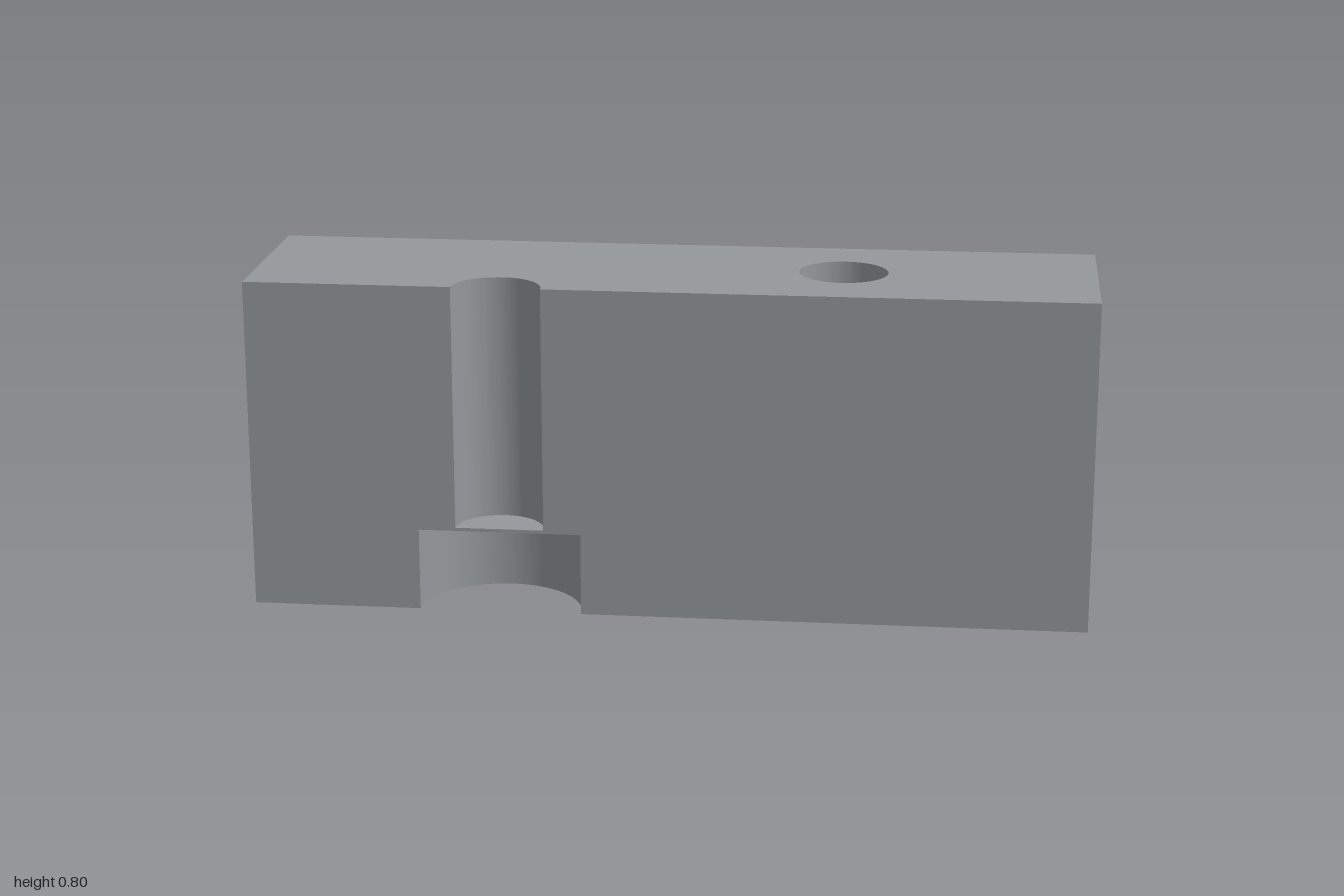
import * as THREE from 'three';
import { mergeGeometries, toCreasedNormals } from 'three/addons/utils/BufferGeometryUtils.js';

const W = 1, D = 0.24, H = 0.8;      // half width, half depth, height
const HOLE_X = 0.4;                  // the holes sit at +x (centred) and -x (cut by the front face)
const BORE = 0.106, COUNTERBORE = 0.195;
const LEDGE = 0.2, FLOOR = 0.208;    // thin web closing the bores above the counterbores

// Plan of the block (shape y = -z) with a round hole and a half-round notch of radius r
function blockPlan(r) {
  const s = new THREE.Shape();
  s.moveTo(-W, -D);
  if (r > 0) {
    s.lineTo(-HOLE_X - r, -D);
    s.absarc(-HOLE_X, -D, r, Math.PI, 0, true);
    s.holes.push(new THREE.Path().absarc(HOLE_X, 0, r, 0, Math.PI * 2, true));
  }
  s.lineTo(W, -D);
  s.lineTo(W, D);
  s.lineTo(-W, D);
  s.closePath();
  return s;
}

// Discs that close the hole and the notch
function pocketPlans(r) {
  return [
    new THREE.Shape().absarc(HOLE_X, 0, r, 0, Math.PI * 2, false),
    new THREE.Shape().absarc(-HOLE_X, -D, r, 0, Math.PI, false),
  ];
}

// Extrude a plan from y0 to y1 and keep only the named faces: bottom, sides, top
function layer(plan, y0, y1, keep) {
  const full = new THREE.ExtrudeGeometry(plan, { depth: y1 - y0, bevelEnabled: false, curveSegments: 48 });
  full.rotateX(-Math.PI / 2).translate(0, y0, 0);
  const [caps, sides] = full.groups;
  const half = caps.count / 2;
  const ranges = {
    bottom: [caps.start, half],
    top: [caps.start + half, half],
    sides: [sides.start, sides.count],
  };
  const pos = full.attributes.position.array;
  return keep.map((face) => {
    const [start, count] = ranges[face];
    const g = new THREE.BufferGeometry();
    g.setAttribute('position', new THREE.BufferAttribute(pos.slice(start * 3, (start + count) * 3), 3));
    return g;
  });
}

export function createModel() {
  const group = new THREE.Group();
  group.name = 'mountingBlock';
  const material = new THREE.MeshStandardMaterial({ color: 0x94989a });

  const parts = {
    // wide counterbores at the bottom
    counterboreSection: layer(blockPlan(COUNTERBORE), 0, LEDGE, ['bottom', 'sides']),
    // thin web between counterbores and bores
    web: [
      ...layer(blockPlan(0), LEDGE, FLOOR, ['sides']),
      ...pocketPlans(COUNTERBORE).flatMap((p) => layer(p, LEDGE, FLOOR, ['bottom'])),
      ...pocketPlans(BORE).flatMap((p) => layer(p, LEDGE, FLOOR, ['top'])),
    ],
    // narrow bores up to the top face
    boreSection: layer(blockPlan(BORE), FLOOR, H, ['sides', 'top']),
  };

  for (const [name, pieces] of Object.entries(parts)) {
    const mesh = new THREE.Mesh(toCreasedNormals(mergeGeometries(pieces), 0.5), material);
    mesh.name = name;
    group.add(mesh);
  }
  return group;
}
